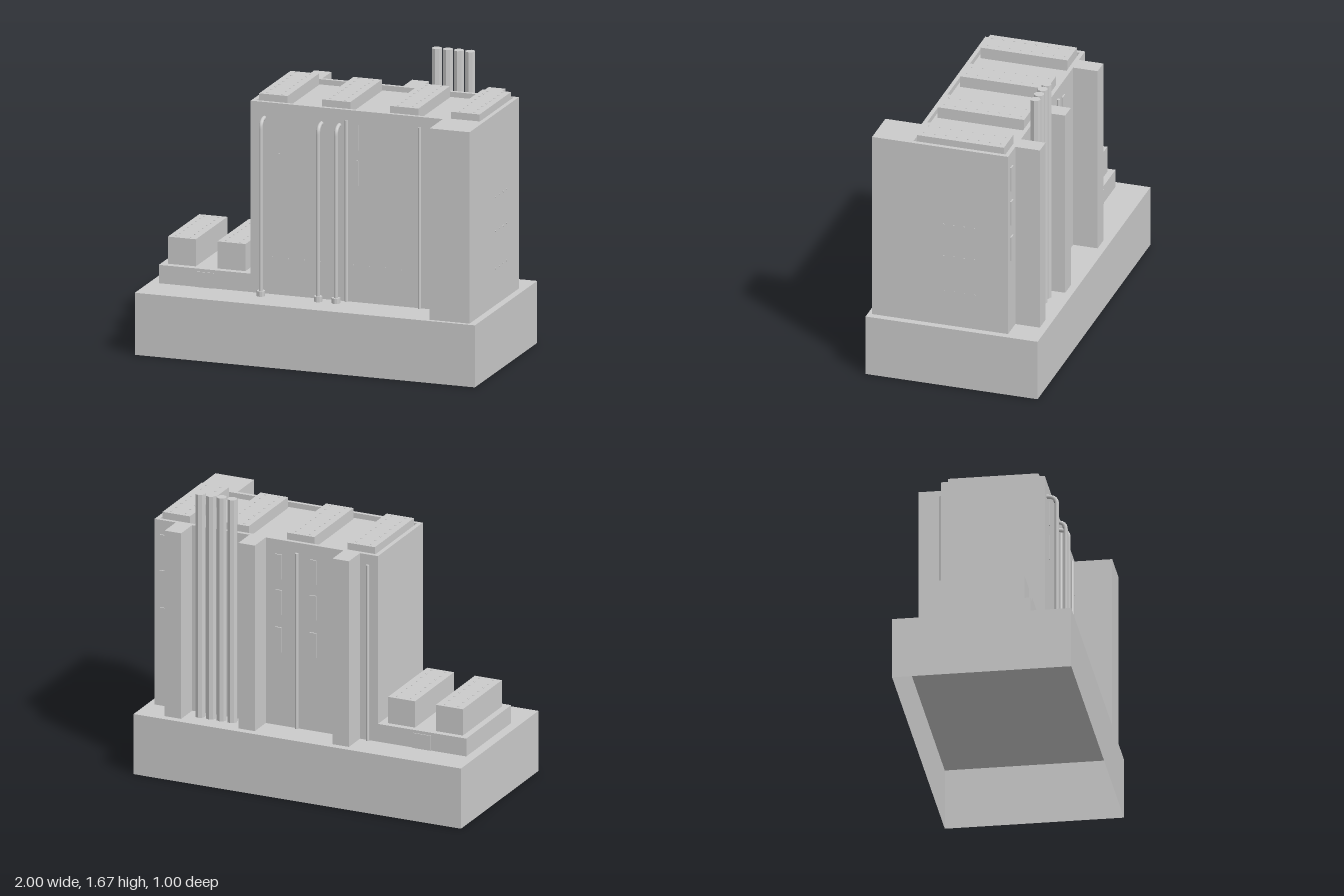
import * as THREE from 'three';

const GROUND = 0.355, ROOF = 1.45;

export function createModel() {
  const model = new THREE.Group();
  const mat = new THREE.MeshStandardMaterial({ color: 0xcccccc, flatShading: true, side: THREE.DoubleSide });
  const smooth = new THREE.MeshStandardMaterial({ color: 0xcccccc, side: THREE.DoubleSide });

  const add = (name, geo, x = 0, y = 0, z = 0, m = mat) => {
    const mesh = new THREE.Mesh(geo, m);
    mesh.name = name;
    mesh.position.set(x, y, z);
    model.add(mesh);
    return mesh;
  };
  // Box given by its limits on each axis
  const box = (name, x0, x1, y0, y1, z0, z1) =>
    add(name, new THREE.BoxGeometry(x1 - x0, y1 - y0, z1 - z0), (x0 + x1) / 2, (y0 + y1) / 2, (z0 + z1) / 2);
  const post = (name, x, z, y0, y1, r, sides) =>
    add(name, new THREE.CylinderGeometry(r, r, y1 - y0, sides), x, (y0 + y1) / 2, z);

  // Plinth, open underneath
  const plinth = new THREE.BoxGeometry(2, GROUND, 1);
  const index = Array.from(plinth.index.array);
  index.splice(18, 6);
  plinth.setIndex(index);
  plinth.clearGroups();
  add('plinth', plinth, 0, GROUND / 2, 0);

  // Main hall with a raised rim around its roof
  box('mainHall', -0.405, 0.96, GROUND, 1.42, -0.315, 0.265);
  const rect = (path, x0, x1, z0, z1) => {
    path.moveTo(x0, -z1);
    path.lineTo(x1, -z1);
    path.lineTo(x1, -z0);
    path.lineTo(x0, -z0);
    path.closePath();
    return path;
  };
  const rim = rect(new THREE.Shape(), -0.405, 0.96, -0.315, 0.265);
  rim.holes.push(rect(new THREE.Path(), -0.38, 0.935, -0.292, 0.242));
  add('roofRim', new THREE.ExtrudeGeometry(rim, { depth: ROOF - 1.42, bevelEnabled: false }), 0, 1.42, 0)
    .rotation.x = -Math.PI / 2;

  // Towers against the walls
  box('frontTower', 0.725, 0.96, GROUND, ROOF, 0.265, 0.475);
  for (const x of [-0.295, 0.28, 0.73]) box('backTower', x, x + 0.1, GROUND, ROOF, -0.457, -0.315);

  // Low annex with a door on each long side
  box('annex', -0.945, -0.405, GROUND, 0.46, -0.315, 0.265);
  box('frontDoor', -0.73, -0.62, GROUND, 0.443, 0.265, 0.27);
  box('backDoor', -0.73, -0.62, GROUND, 0.443, -0.32, -0.315);

  // Roof units, each with two rows of small studs
  const stud = new THREE.CylinderGeometry(0.005, 0.005, 0.004, 6);
  const unit = (x0, x1, y0, y1) => {
    box('roofUnit', x0, x1, y0, y1, -0.28, 0.225);
    for (const x of [x0 + 0.04, x1 - 0.04])
      for (let i = 0; i < 8; i++) add('unitStud', stud, x, y1 + 0.001, -0.25 + i * 0.064);
  };
  for (const x of [-0.37, 0, 0.4, 0.76]) unit(x, x + 0.167, 1.42, 1.485);
  for (const x of [-0.907, -0.615]) unit(x, x + 0.165, 0.46, 0.615);

  // Chimneys behind the hall
  for (let i = 0; i < 4; i++) post('chimney', 0.457 + i * 0.065, -0.373, GROUND, 1.67, 0.029, 8);

  // Front pipes bending into the wall, standing on collars
  for (const x of [-0.325, 0.012, 0.117]) {
    const path = new THREE.CurvePath();
    const v = (y, z) => new THREE.Vector3(x, y, z);
    path.add(new THREE.LineCurve3(v(GROUND, 0.32), v(1.315, 0.32)));
    path.add(new THREE.QuadraticBezierCurve3(v(1.315, 0.32), v(1.36, 0.32), v(1.36, 0.26)));
    add('frontPipe', new THREE.TubeGeometry(path, 80, 0.012, 8), 0, 0, 0, smooth);
    post('pipeCollar', x, 0.32, GROUND, 0.385, 0.024, 10);
  }

  // Slim downpipes flat against the walls
  for (const x of [0.16, 0.59]) post('frontDownpipe', x, 0.272, GROUND, 1.39, 0.009, 8);
  for (const x of [-0.345, 0.088]) post('backDownpipe', x, -0.322, GROUND, 1.39, 0.01, 8);

  // Narrow wall panels
  for (const y of [1.02, 1.225])
    for (const x of [-0.235, 0.225, 0.685]) box('frontPanel', x - 0.006, x + 0.006, y, y + 0.145, 0.265, 0.269);
  for (const y of [0.79, 1.01, 1.22])
    for (const x of [-0.01, 0.2, 0.905]) box('backPanel', x - 0.02, x + 0.02, y, y + 0.145, -0.323, -0.315);

  // Small wall studs
  for (let i = 0; i < 10; i++) add('wallStud', stud, -0.28 + i * 0.095, 0.565, 0.266).rotation.x = Math.PI / 2;
  for (const y of [0.565, 0.78, 0.975])
    for (let i = 0; i < 4; i++) add('wallStud', stud, 0.961, y, -0.12 + i * 0.06).rotation.z = Math.PI / 2;

  return model;
}
